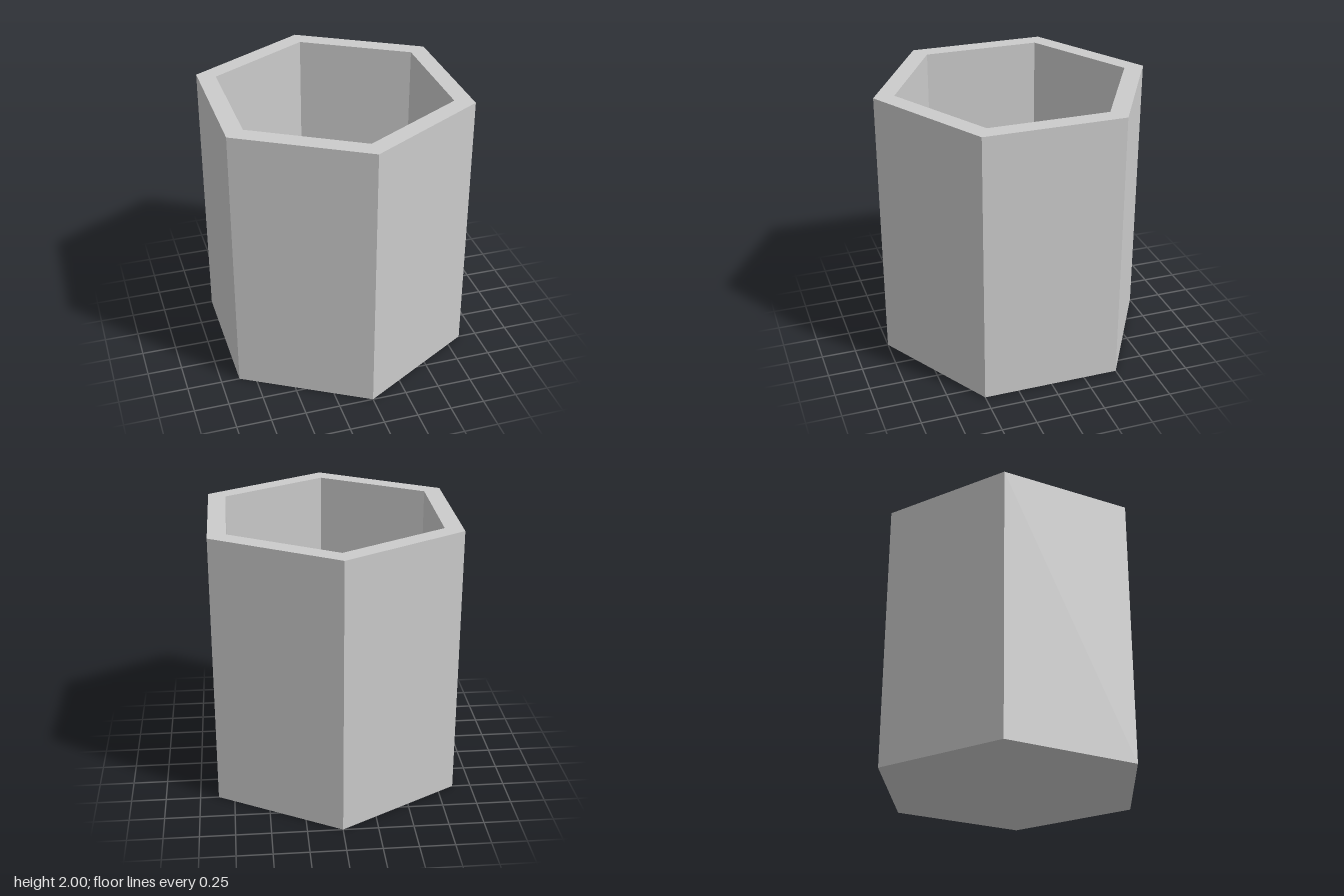
import * as THREE from 'three';

const HEIGHT = 2;
const OUTER = 1;      // corner radius of the outside
const INNER = 0.853;  // corner radius of the cavity
const FLOOR = 0.13;   // floor as thick as the walls

export function createModel() {
  const group = new THREE.Group();
  group.name = 'hexagonalPot';

  // Section from the underside centre, up the outside, over the rim and down to the floor
  const profile = [
    [0, 0], [OUTER, 0], [OUTER, HEIGHT],
    [INNER, HEIGHT], [INNER, FLOOR], [0, FLOOR],
  ].map(([r, y]) => new THREE.Vector2(r, y));

  // Six-sided hollow body with corners at the front and back
  const body = new THREE.Mesh(
    new THREE.LatheGeometry(profile, 6),
    new THREE.MeshStandardMaterial({ color: 0xcccccc, flatShading: true }),
  );
  body.name = 'potBody';
  group.add(body);

  return group;
}
